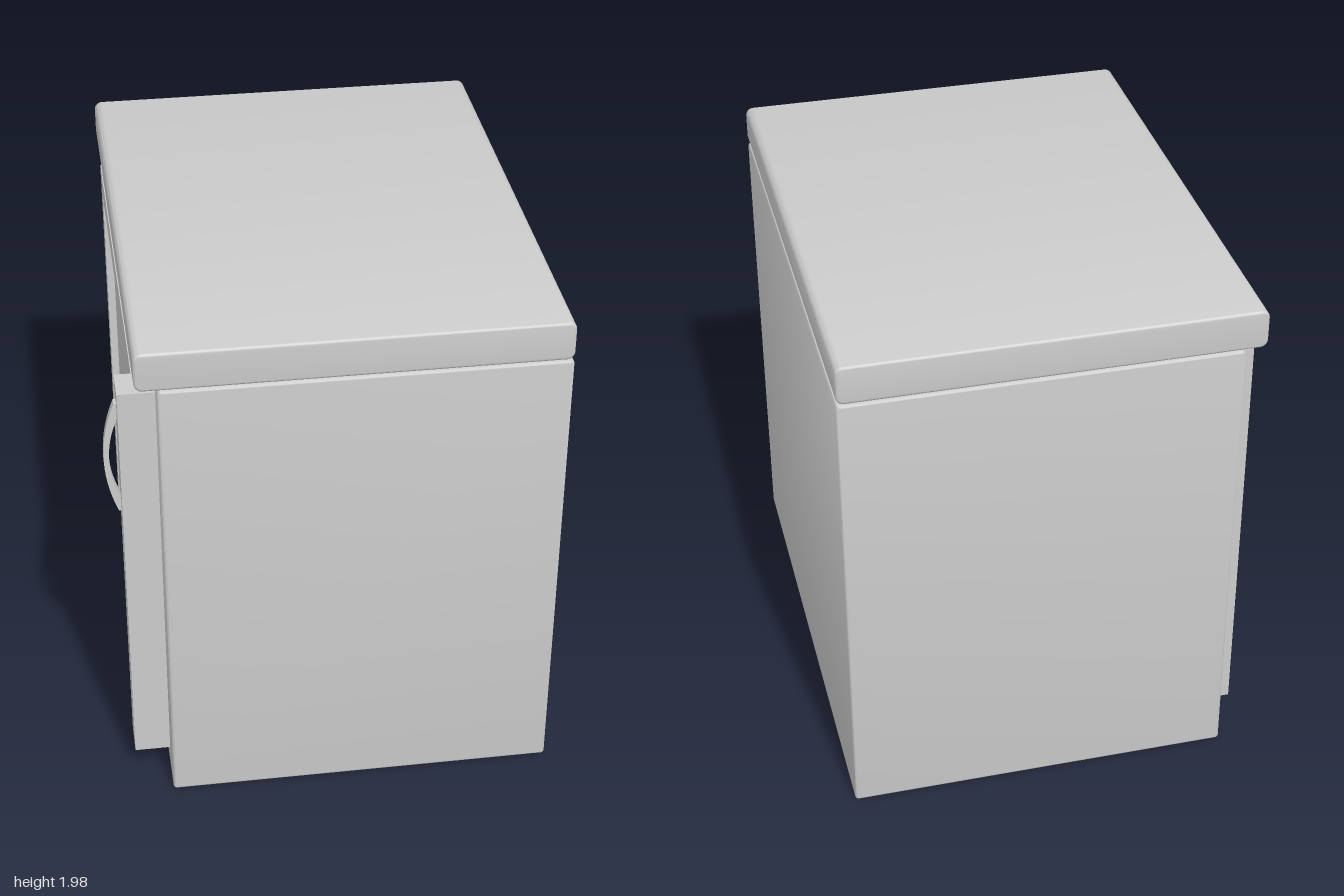
import * as THREE from 'three';
import { toCreasedNormals } from 'three/addons/utils/BufferGeometryUtils.js';

const material = new THREE.MeshStandardMaterial({ color: 0xcccccc });

export function createModel() {
  const group = new THREE.Group();
  group.name = 'miniFridge';

  const add = (name, geometry) => {
    const mesh = new THREE.Mesh(geometry, material);
    mesh.name = name;
    group.add(mesh);
    return mesh;
  };

  // Block between two corners
  const block = (name, x0, x1, y0, y1, z0, z1) =>
    add(name, new THREE.BoxGeometry(x1 - x0, y1 - y0, z1 - z0))
      .position.set((x0 + x1) / 2, (y0 + y1) / 2, (z0 + z1) / 2);

  // Block with rounded long edges and softly bevelled front and back, z from -1 to 1
  const roundedBlock = (name, x0, x1, y0, y1, radius, bevel) => {
    const shape = new THREE.Shape();
    const r = radius;
    shape.absarc(x1 - r, y1 - r, r, 0, Math.PI / 2);
    shape.absarc(x0 + r, y1 - r, r, Math.PI / 2, Math.PI);
    shape.absarc(x0 + r, y0 + r, r, Math.PI, Math.PI * 1.5);
    shape.absarc(x1 - r, y0 + r, r, Math.PI * 1.5, Math.PI * 2);
    const geometry = new THREE.ExtrudeGeometry(shape, {
      depth: 2 - 2 * bevel, curveSegments: 6,
      bevelSize: bevel, bevelThickness: bevel, bevelOffset: -bevel, bevelSegments: 3,
    });
    geometry.translate(0, 0, -1 + bevel);
    add(name, toCreasedNormals(geometry, 0.6));
  };

  // Cabinet and overhanging top
  roundedBlock('cabinet', -0.64, 0.825, 0, 1.825, 0.014, 0.01);
  roundedBlock('worktop', -0.72, 0.825, 1.83, 1.98, 0.03, 0.01);
  block('worktopSeam', -0.62, 0.81, 1.8, 1.85, -0.98, 0.98);

  // Door frame with a recessed panel; shape x runs along z, depth along -x
  const rect = (Type, z0, z1, y0, y1) => new Type([
    new THREE.Vector2(z0, y0), new THREE.Vector2(z1, y0),
    new THREE.Vector2(z1, y1), new THREE.Vector2(z0, y1),
  ]);
  const frame = rect(THREE.Shape, -0.88, 0.88, 0.11, 1.75);
  frame.holes.push(rect(THREE.Path, -0.785, 0.735, 0.2, 1.65));
  const frameGeometry = new THREE.ExtrudeGeometry(frame, { depth: 0.075, bevelEnabled: false });
  frameGeometry.rotateY(-Math.PI / 2).translate(-0.64, 0, 0);
  add('doorFrame', frameGeometry);
  block('doorPanel', -0.685, -0.63, 0.18, 1.67, -0.8, 0.75);

  // Thicker door stile carrying the handle
  block('handleStile', -0.775, -0.7, 0.11, 1.75, 0.745, 0.88);

  // Bowed handle, a thin crescent seen from the front
  const bow = new THREE.Shape();
  bow.moveTo(-0.774, 1.22);
  bow.lineTo(-0.774, 1.28);
  bow.quadraticCurveTo(-0.846, 1.45, -0.774, 1.62);
  bow.lineTo(-0.774, 1.68);
  bow.lineTo(-0.785, 1.68);
  bow.quadraticCurveTo(-0.875, 1.45, -0.785, 1.22);
  const handleGeometry = new THREE.ExtrudeGeometry(bow, {
    depth: 0.034, bevelEnabled: false, curveSegments: 20,
  });
  handleGeometry.translate(0, 0, 0.793);
  add('doorHandle', toCreasedNormals(handleGeometry, 0.5));

  return group;
}
